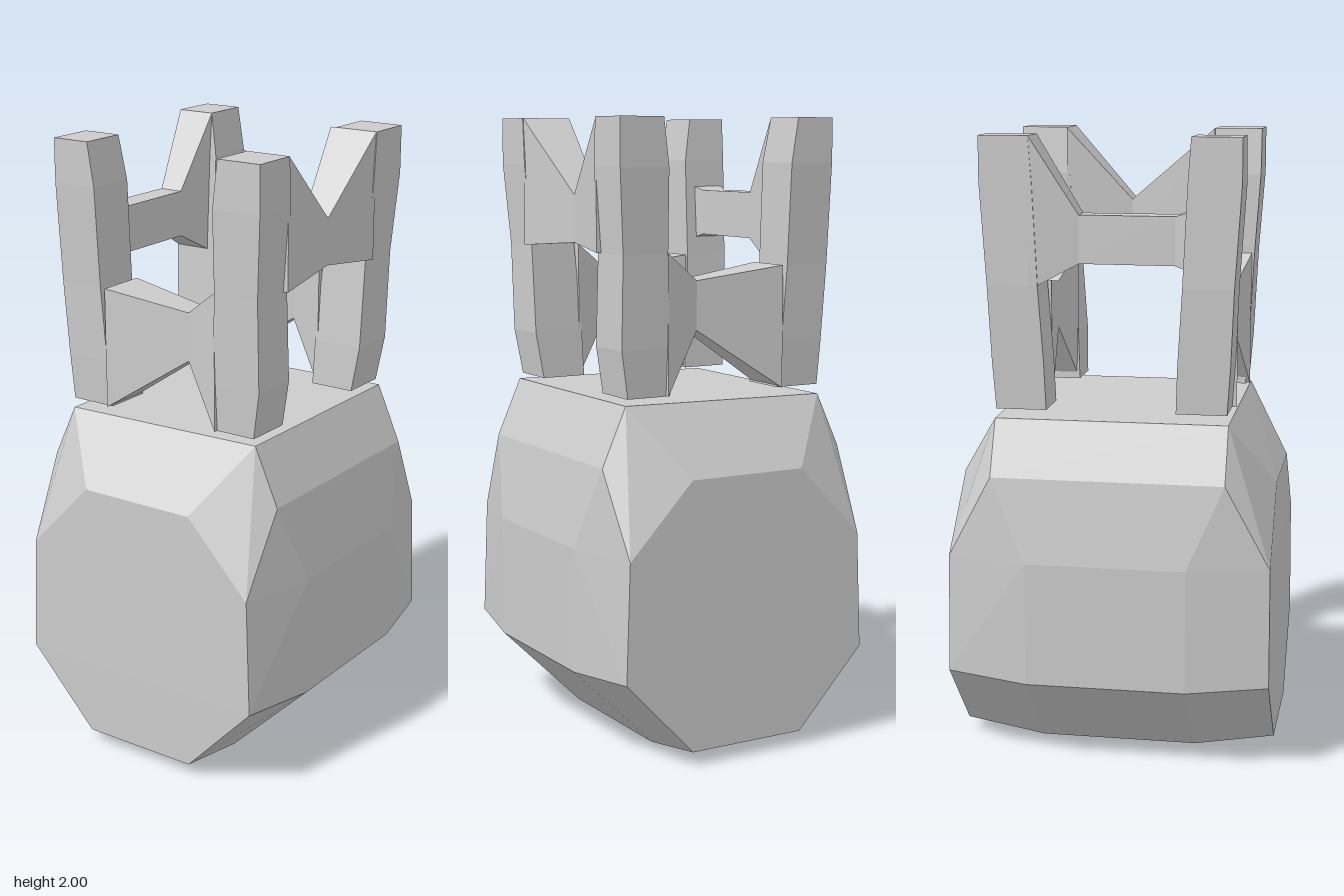
import * as THREE from 'three';
import { ConvexGeometry } from 'three/addons/geometries/ConvexGeometry.js';

const material = new THREE.MeshStandardMaterial({ color: 0xcccccc, flatShading: true });

// Bends a box along one axis. Each section is [position, lowA, highA, lowB, highB],
// where A and B are the other two axes in x, y, z order.
function loft(name, axis, sections) {
  const n = sections.length - 1;
  const segments = [1, 1, 1];
  segments[axis] = n;
  const [a, b] = [0, 1, 2].filter((i) => i !== axis);
  const geometry = new THREE.BoxGeometry(1, 1, 1, ...segments).toNonIndexed();
  const p = geometry.attributes.position;
  for (let i = 0; i < p.count; i++) {
    const s = sections[Math.round((p.getComponent(i, axis) + 0.5) * n)];
    const highA = p.getComponent(i, a) > 0;
    const highB = p.getComponent(i, b) > 0;
    p.setComponent(i, axis, s[0]);
    p.setComponent(i, a, s[highA ? 2 : 1]);
    p.setComponent(i, b, s[highB ? 4 : 3]);
  }
  geometry.computeVertexNormals();
  const mesh = new THREE.Mesh(geometry, material);
  mesh.name = name;
  return mesh;
}

// Chamfered block, mirrored in x and z
function makeBody() {
  const corner = [
    [0.2, 0.05, 0.515], [0.435, 0.3, 0.515], [0.42, 0.68, 0.512], [0.2, 0.91, 0.51],
    [0.2, 0.005, 0.255], [0.48, 0.283, 0.255], [0.48, 0.68, 0.255],
    [0.437, 0.945, 0.37], [0.355, 1.125, 0.37],
  ];
  const points = [];
  for (const sx of [-1, 1]) {
    for (const sz of [-1, 1]) {
      for (const [x, y, z] of corner) {
        // the top rises slightly to one side
        points.push(new THREE.Vector3(sx * x, y > 1 ? y + sx * 0.006 : y, sz * z));
      }
    }
  }
  const mesh = new THREE.Mesh(new ConvexGeometry(points), material);
  mesh.name = 'body';
  return mesh;
}

export function createModel() {
  const model = new THREE.Group();
  model.add(makeBody());

  // Four upright posts: [y, inner x, outer x, inner z, outer z]
  const leftProfile = [
    [1.15, 0.195, 0.345, 0.205, 0.365], [1.3, 0.2, 0.37, 0.21, 0.375],
    [1.59, 0.216, 0.372, 0.23, 0.388], [1.85, 0.222, 0.39, 0.24, 0.405],
    [2, 0.24, 0.39, 0.25, 0.405],
  ];
  const rightProfile = [
    [1.15, 0.2, 0.355, 0.205, 0.365], [1.3, 0.21, 0.362, 0.21, 0.375],
    [1.54, 0.222, 0.373, 0.225, 0.385], [1.86, 0.222, 0.375, 0.24, 0.405],
    [2, 0.245, 0.375, 0.25, 0.405],
  ];
  for (const sx of [1, -1]) {
    for (const sz of [1, -1]) {
      const sections = (sx > 0 ? leftProfile : rightProfile).map(([y, xi, xo, zi, zo]) => [
        y, ...(sx > 0 ? [xi, xo] : [-xo, -xi]), ...(sz > 0 ? [zi, zo] : [-zo, -zi]),
      ]);
      model.add(loft((sz > 0 ? 'front' : 'back') + (sx > 0 ? 'Left' : 'Right') + 'Post', 1, sections));
    }
  }

  // Pinched webs joining the posts across the front and back
  model.add(loft('frontWeb', 0, [
    [-0.21, 1.15, 1.54, 0.215, 0.38],
    [0.085, 1.345, 1.5, 0.25, 0.34],
    [0.21, 1.15, 1.59, 0.21, 0.38],
  ]));
  model.add(loft('backWeb', 0, [
    [-0.21, 1.15, 1.54, -0.38, -0.215],
    [0.085, 1.345, 1.5, -0.34, -0.255],
    [0.21, 1.15, 1.59, -0.38, -0.21],
  ]));

  // V-topped web on the left
  model.add(loft('leftWeb', 2, [
    [-0.25, 0.22, 0.388, 1.59, 2],
    [-0.033, 0.262, 0.35, 1.61, 1.76],
    [0.25, 0.22, 0.388, 1.59, 2],
  ]));

  // Sloping brace that runs into a thin rail on the right
  model.add(loft('rightRail', 2, [
    [-0.25, -0.374, -0.245, 1.53, 2],
    [-0.1, -0.345, -0.265, 1.61, 1.76],
    [0.2, -0.355, -0.268, 1.61, 1.76],
    [0.26, -0.37, -0.25, 1.59, 1.78],
  ]));
  return model;
}
